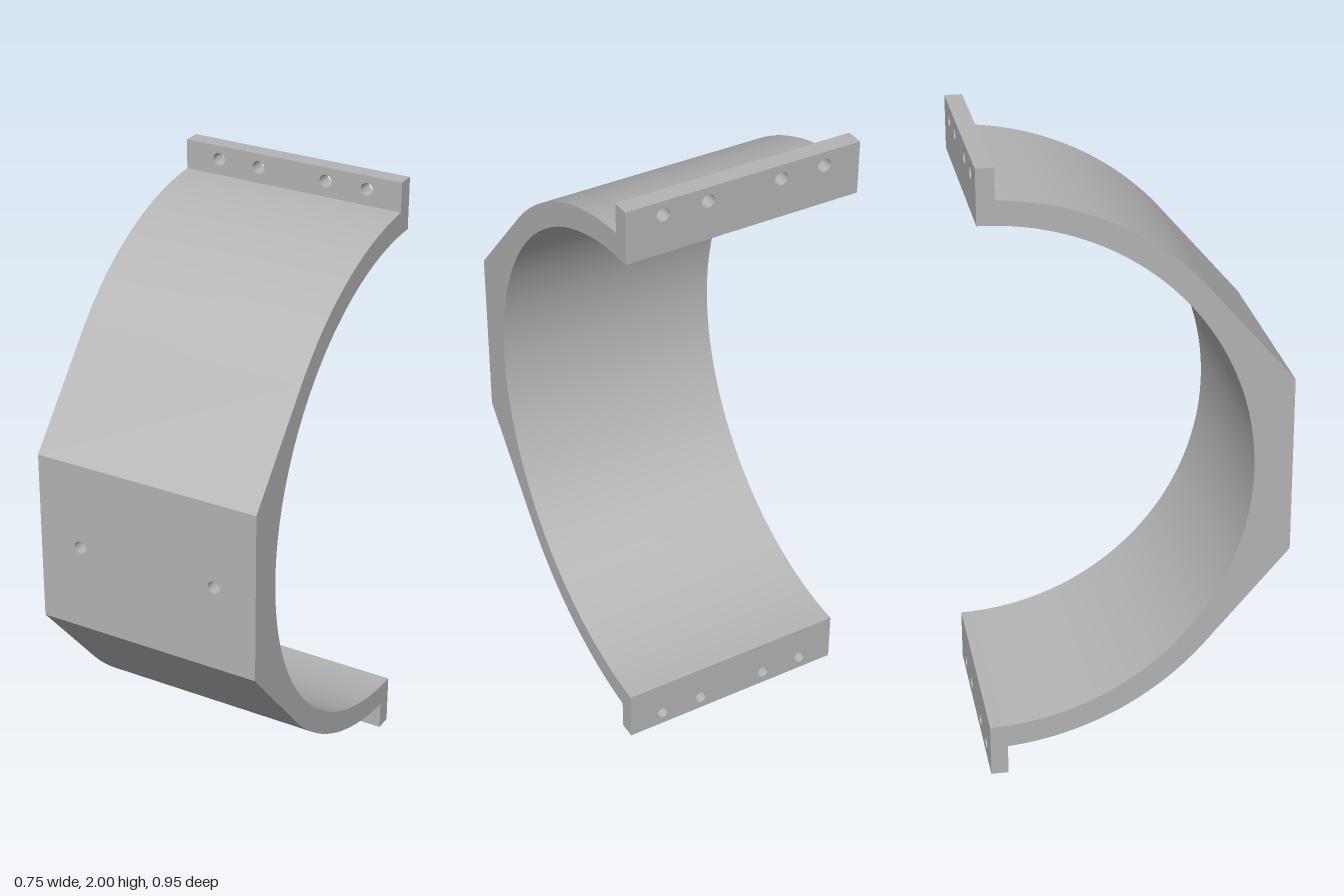
import * as THREE from 'three';

const W = 0.377;              // half width
const BACK = -0.475, FRONT = 0.475, LIP = -0.42;
const CY = 1, R_IN = 0.83, R_OUT = 0.905;
const FLAT = 0.285;           // half height of the flat front pad
const HOLE = 0.021;

export function createModel() {
  const group = new THREE.Group();
  const steel = new THREE.MeshStandardMaterial({ color: 0xb4b4b4 });
  steel.name = 'grey metal';

  const add = (name, geometry) => {
    const mesh = new THREE.Mesh(geometry, steel);
    mesh.name = name;
    group.add(mesh);
    return mesh;
  };

  // Points [z, y] on a circle about the bore axis
  const arc = (r, a0, a1, n) => Array.from({ length: n + 1 }, (_, i) => {
    const a = a0 + (a1 - a0) * i / n;
    return [BACK + r * Math.cos(a), CY + r * Math.sin(a)];
  });

  // Sheet spanning the width along a [z, y] path
  const strip = (name, path) => {
    const g = new THREE.PlaneGeometry(2 * W, 1, 1, path.length - 1);
    const p = g.attributes.position;
    path.forEach(([z, y], i) => {
      p.setXYZ(2 * i, -W, y, z);
      p.setXYZ(2 * i + 1, W, y, z);
    });
    g.computeVertexNormals();
    return add(name, g);
  };

  // Flat wall facing front or back, pierced by round holes
  const panel = (name, y0, y1, z, xs, holeY, facesBack) => {
    const s = new THREE.Shape([[-W, y0], [W, y0], [W, y1], [-W, y1]]
      .map(([x, y]) => new THREE.Vector2(x, y)));
    for (const x of xs) {
      s.holes.push(new THREE.Path().absarc(x, holeY, HOLE, 0, Math.PI * 2, true));
    }
    const g = new THREE.ShapeGeometry(s, 12);
    if (facesBack) g.rotateY(Math.PI);
    add(name, g.translate(0, 0, z));
  };

  // Inward-facing wall of a drilled hole
  const bore = (name, x, y, z0, z1) => {
    const g = new THREE.LatheGeometry(
      [new THREE.Vector2(HOLE, z1), new THREE.Vector2(HOLE, z0)], 24);
    add(name, g.rotateX(Math.PI / 2).translate(x, y, 0));
  };

  // Outer path: arc from the flange, then a tangent slope to the front pad
  const padDist = Math.hypot(FRONT - BACK, FLAT);
  const tangent = Math.atan2(FLAT, FRONT - BACK) + Math.acos(R_OUT / padDist);
  const lipAngle = Math.acos((LIP - BACK) / R_OUT);
  const upperArc = arc(R_OUT, lipAngle, tangent, 32);
  const lowerArc = arc(R_OUT, -tangent, -lipAngle, 32);
  const inner = arc(R_IN, -Math.PI / 2, Math.PI / 2, 80);
  const shoulder = upperArc[0][1];

  strip('upperOuterBand', upperArc);
  strip('upperSlope', [upperArc[32], [FRONT, CY + FLAT]]);
  strip('lowerSlope', [[FRONT, CY - FLAT], lowerArc[0]]);
  strip('lowerOuterBand', lowerArc);
  strip('innerBand', inner);
  strip('upperFlangeTop', [[BACK, 2], [LIP, 2]]);
  strip('lowerFlangeBottom', [[LIP, 0], [BACK, 0]]);

  // Front pad with two blind holes
  const padHoles = [-0.235, 0.235];
  panel('frontPad', CY - FLAT, CY + FLAT, FRONT, padHoles, CY, false);
  for (const x of padHoles) {
    bore('padHole', x, CY, FRONT - 0.06, FRONT);
    add('padHoleFloor', new THREE.CircleGeometry(HOLE, 24).translate(x, CY, FRONT - 0.06));
  }

  // Flange faces and through holes
  const boltX = [-0.26, -0.118, 0.118, 0.26];
  panel('upperFlangeFront', shoulder, 2, LIP, boltX, 1.955, false);
  panel('upperFlangeBack', CY + R_IN, 2, BACK, boltX, 1.955, true);
  panel('lowerFlangeFront', 0, 2 - shoulder, LIP, boltX, 0.045, false);
  panel('lowerFlangeBack', 0, CY - R_IN, BACK, boltX, 0.045, true);
  for (const x of boltX) {
    for (const y of [0.045, 1.955]) bore('boltHole', x, y, BACK, LIP);
  }

  // Side walls closing the whole profile
  const outline = [[BACK, 2], [LIP, 2], ...upperArc, [FRONT, CY + FLAT],
    [FRONT, CY - FLAT], ...lowerArc, [LIP, 0], [BACK, 0], ...inner];
  for (const side of [-1, 1]) {
    const s = new THREE.Shape(outline.map(([z, y]) => new THREE.Vector2(-side * z, y)));
    const g = new THREE.ShapeGeometry(s).rotateY(side * Math.PI / 2).translate(side * W, 0, 0);
    add(side > 0 ? 'leftSide' : 'rightSide', g);
  }
  return group;
}
